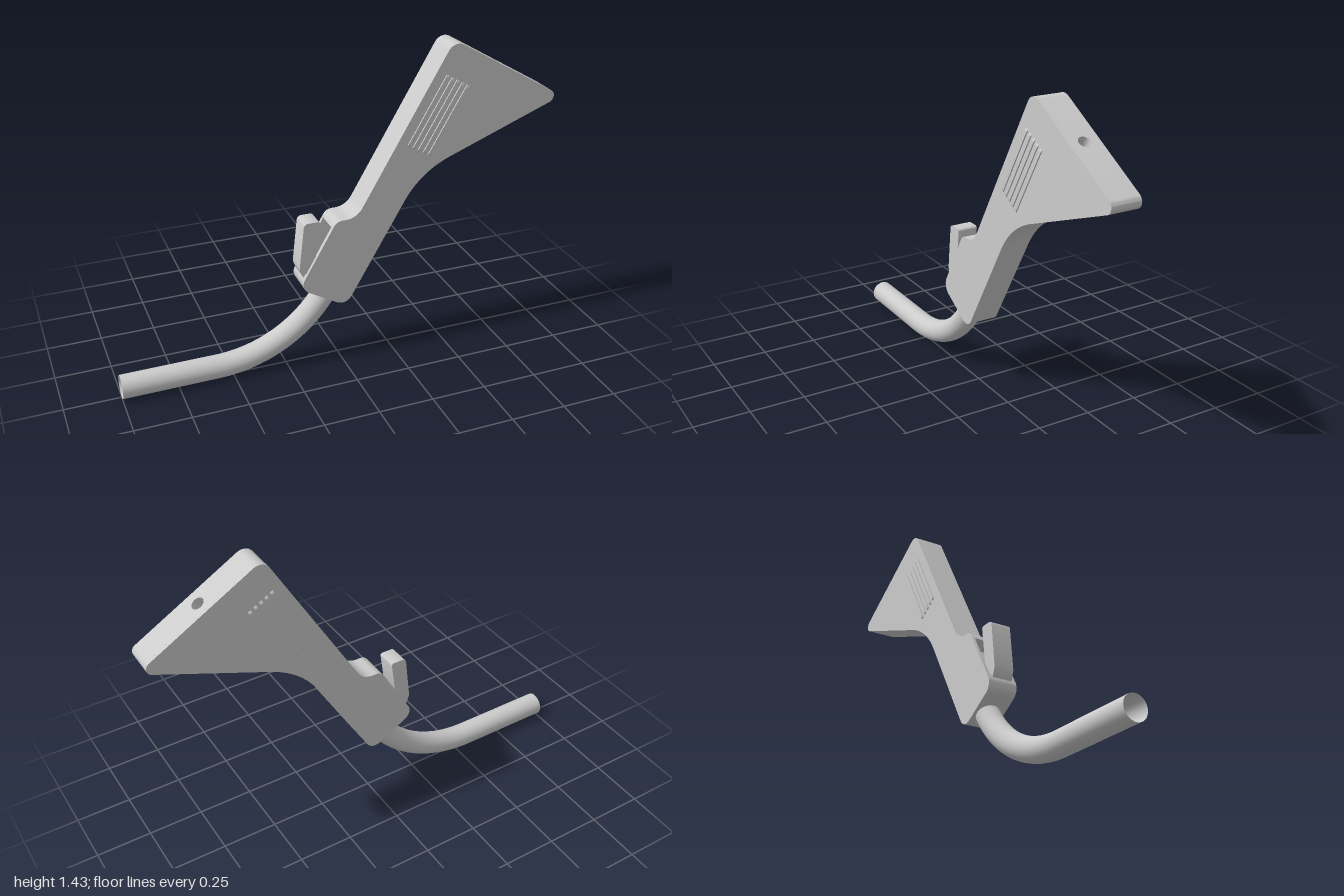
import * as THREE from 'three';
import { toCreasedNormals } from 'three/addons/utils/BufferGeometryUtils.js';

const HALF = 0.067;   // half thickness of the body
const CORE = 0.052;   // half thickness of the middle layer

// Polygon of [x, y, radius] corners, each rounded by a tangent arc
function roundedShape(corners) {
  const shape = new THREE.Shape();
  const n = corners.length;
  const at = (i) => new THREE.Vector2(...corners[(i + n) % n].slice(0, 2));
  corners.forEach(([, , r = 0], i) => {
    const p = at(i);
    const a = at(i - 1).sub(p).normalize();
    const b = at(i + 1).sub(p).normalize();
    const turn = Math.PI - Math.acos(a.dot(b));
    const d = r * Math.tan(turn / 2);
    const k = d - (4 / 3) * Math.tan(turn / 4) * r;
    const on = (dir, t) => p.clone().addScaledVector(dir, t);
    const start = on(a, d), end = on(b, d), h1 = on(a, k), h2 = on(b, k);
    if (i === 0) shape.moveTo(start.x, start.y);
    else shape.lineTo(start.x, start.y);
    if (r > 0) shape.bezierCurveTo(h1.x, h1.y, h2.x, h2.y, end.x, end.y);
  });
  shape.closePath();
  return shape;
}

function slab(shape, z0, z1) {
  const geo = new THREE.ExtrudeGeometry(shape, { depth: z1 - z0, bevelEnabled: false, curveSegments: 10 });
  return toCreasedNormals(geo.translate(0, 0, z0), 0.5);
}

export function createModel() {
  const group = new THREE.Group();
  const material = new THREE.MeshStandardMaterial({ color: 0xcccccc });
  const add = (name, geo, mat = material, parent = group) => {
    const mesh = new THREE.Mesh(geo, mat);
    mesh.name = name;
    parent.add(mesh);
    return mesh;
  };

  // Directions: along the handle, across it, and along/out of the slanted end face
  const axis = new THREE.Vector2(0.5, 0.866);
  const across = new THREE.Vector2(0.866, -0.5);
  const face = new THREE.Vector2(0.865, -0.502);
  const out = new THREE.Vector2(0.502, 0.865);
  const offset = (p, u, s, v, t) => [p[0] + u.x * s + v.x * t, p[1] + u.y * s + v.y * t];

  // Body outline, with a lever slot and a socket cut into the middle layer only
  const heel = [-0.2, 0.405, 0.05];
  const port = [0.745, 1.308];
  const portDepth = 0.12;
  const lower = [heel, [0.018, 0.279, 0.05], [0.362, 0.874, 0.41], [1.039, 1.137, 0.03]];
  const upper = [[0.497, 1.452, 0.05], [0.066, 0.706, 0.087], [-0.027, 0.706, 0.043]];
  const socket = [[0.05, 0], [0.05, -portDepth], [-0.05, -portDepth], [-0.05, 0]]
    .map(([s, t]) => offset(port, face, s, out, t));
  const slot = [[0.31, 0], [0.31, 0.06], [0.07, 0.06], [0.07, 0]]
    .map(([s, t]) => offset(heel, axis, s, across, t));

  const body = new THREE.Group();
  body.name = 'body';
  group.add(body);
  const side = roundedShape([...lower, ...upper]);
  add('leftSide', slab(side, CORE, HALF), material, body);
  add('rightSide', slab(side, -HALF, -CORE), material, body);
  add('core', slab(roundedShape([...lower, ...socket, ...upper, ...slot]), -CORE, CORE), material, body);

  // Block with the round hole, filling the socket in the end face
  const block = roundedShape([[-0.05, -CORE], [0.05, -CORE], [0.05, CORE], [-0.05, CORE]]);
  block.holes.push(new THREE.Path().absarc(0, 0, 0.027, 0, Math.PI * 2, true));
  const blockGeo = slab(block, -portDepth, 0).applyMatrix4(new THREE.Matrix4().makeBasis(
    new THREE.Vector3(face.x, face.y, 0),
    new THREE.Vector3(0, 0, -1),
    new THREE.Vector3(out.x, out.y, 0),
  ).setPosition(port[0], port[1], 0));
  add('endHole', blockGeo, material, body);

  // Grip ribs run through the body and stand proud on both sides
  const ribs = new THREE.Group();
  ribs.name = 'gripRibs';
  group.add(ribs);
  const L = 0.175, H = 0.073;
  const ribShape = roundedShape([[-L, -H, 0.015], [L, -H, 0.015], [L, H, 0.015], [-L, H, 0.015]]);
  const ribBasis = new THREE.Matrix4().makeBasis(
    new THREE.Vector3(axis.x, axis.y, 0),
    new THREE.Vector3(0, 0, 1),
    new THREE.Vector3(across.x, across.y, 0),
  );
  for (let i = -2; i <= 2; i++) {
    const geo = slab(ribShape, -0.007, 0.007).applyMatrix4(ribBasis);
    const [x, y] = offset([0.435, 1.125], across, i * 0.028, axis, 0);
    add('rib', geo, material, ribs).position.set(x, y, 0);
  }

  // Thumb lever standing out of the slot
  add('lever', slab(roundedShape([
    [-0.168, 0.708, 0.02], [-0.192, 0.49, 0.05], [-0.17, 0.435, 0.02],
    [-0.128, 0.46, 0.01], [-0.094, 0.708, 0.01],
  ]), -0.046, 0.046));

  // Open hose: a straight run, a 60 degree bend, then into the handle
  const R = 0.6, y0 = 0.054, x0 = -0.57, k = 0.357 * R;
  const v = (x, y) => new THREE.Vector3(x, y, 0);
  const bendEnd = v(x0 + R * 0.866, y0 + R * 0.5);
  const path = new THREE.CurvePath();
  path.add(new THREE.LineCurve3(v(-1, y0), v(x0, y0)));
  path.add(new THREE.CubicBezierCurve3(
    v(x0, y0), v(x0 + k, y0), v(bendEnd.x - k * 0.5, bendEnd.y - k * 0.866), bendEnd));
  path.add(new THREE.LineCurve3(bendEnd, v(bendEnd.x + 0.01, bendEnd.y + 0.0173)));
  const open = material.clone();
  open.side = THREE.DoubleSide;
  add('hose', new THREE.TubeGeometry(path, 48, 0.053, 32), open);

  return group;
}
